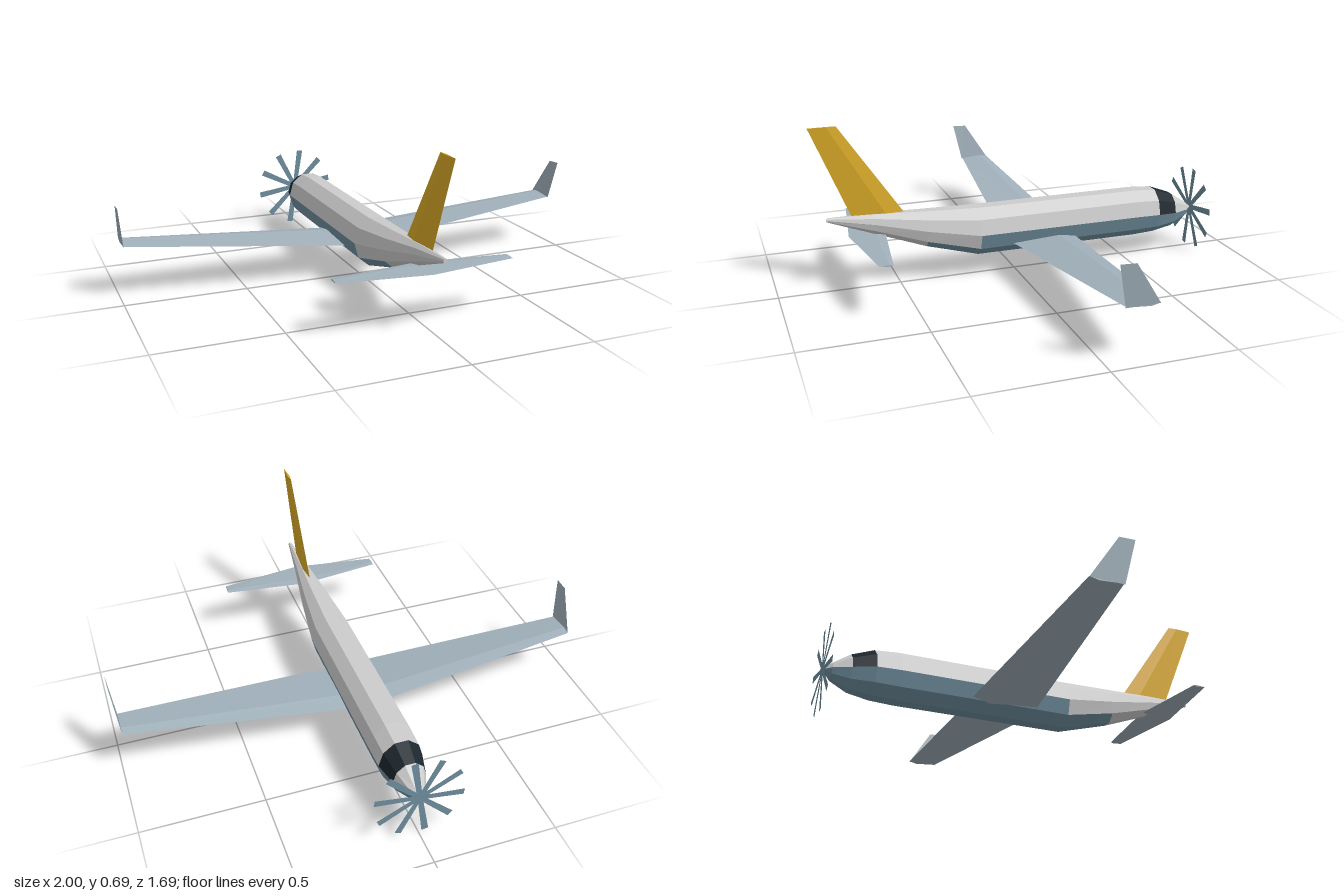
import * as THREE from 'three';

const GREY = 0xcccccc, BLUE = 0x6f8f9f, WING = 0xa0b0ba, GOLD = 0xd9a926, GLASS = 0x1c262d;

function mesh(name, positions, color, side = THREE.FrontSide) {
  const g = new THREE.BufferGeometry();
  g.setAttribute('position', new THREE.Float32BufferAttribute(positions, 3));
  g.computeVertexNormals();
  const m = new THREE.Mesh(g, new THREE.MeshStandardMaterial({ color, flatShading: true, side }));
  m.name = name;
  return m;
}

const quad = (a, b, c, d) => [...a, ...b, ...c, ...a, ...c, ...d];

// Skin between successive rings (counter-clockwise seen from the first ring), with end caps.
function loft(rings) {
  const out = [], n = rings[0].length, last = rings[rings.length - 1];
  for (let i = 0; i < rings.length - 1; i++) {
    for (let j = 0; j < n; j++) {
      const k = (j + 1) % n;
      out.push(...quad(rings[i][j], rings[i + 1][j], rings[i + 1][k], rings[i][k]));
    }
  }
  for (let j = 1; j < n - 1; j++) {
    out.push(...rings[0][0], ...rings[0][j], ...rings[0][j + 1]);
    out.push(...last[0], ...last[j + 1], ...last[j]);
  }
  return out;
}

// Ten-sided fuselage, split into coloured panels.
function fuselage() {
  const group = new THREE.Group();
  group.name = 'fuselage';
  // z, half width, top, middle, bottom
  const stations = [
    [0.79, 0.008, 0.316, 0.307, 0.3],
    [0.6, 0.033, 0.315, 0.277, 0.231],
    [0.39, 0.065, 0.307, 0.233, 0.155],
    [0.17, 0.091, 0.3, 0.197, 0.095],
    [-0.55, 0.092, 0.3, 0.197, 0.095],
    [-0.65, 0.09, 0.293, 0.195, 0.1],
    [-0.74, 0.067, 0.26, 0.187, 0.114],
    [-0.81, 0.037, 0.215, 0.185, 0.147],
    [-0.842, 0.003, 0.188, 0.185, 0.182],
  ];
  const SIDES = 10, peak = Math.sin(Math.PI * 0.4);
  const rings = stations.map(([z, w, top, mid, bottom]) =>
    Array.from({ length: SIDES }, (_, j) => {
      const a = (j / SIDES) * Math.PI * 2, s = Math.sin(a) / peak;
      return [w * Math.cos(a), mid + s * (s > 0 ? top - mid : mid - bottom), z];
    }));
  const panels = { upperBody: [], belly: [], cockpitWindow: [] };
  for (let i = 0; i < rings.length - 1; i++) {
    for (let j = 0; j < SIDES; j++) {
      const k = (j + 1) % SIDES;
      const sideFacet = j === 5 || j === 9;
      const blue = j >= 5 && i >= (sideFacet ? 3 : 2);
      const panel = blue ? 'belly' : i === 5 && j < 5 ? 'cockpitWindow' : 'upperBody';
      panels[panel].push(...quad(rings[i][j], rings[i + 1][j], rings[i + 1][k], rings[i][k]));
    }
  }
  for (let j = 1; j < SIDES - 1; j++) {
    panels.upperBody.push(...rings[0][0], ...rings[0][j], ...rings[0][j + 1]);
  }
  group.add(
    mesh('upperBody', panels.upperBody, GREY),
    mesh('belly', panels.belly, BLUE),
    mesh('cockpitWindow', panels.cockpitWindow, GLASS));
  return group;
}

// Four-point aerofoil at span position x, from trailing to leading edge.
function aerofoil(x, y, trailing, leading, half) {
  const crest = leading + (trailing - leading) * 0.27;
  return [[x, y, trailing], [x, y + half, crest], [x, y, leading], [x, y - half, crest]];
}

export function createModel() {
  const model = new THREE.Group();
  model.name = 'aeroplane';
  model.add(fuselage());

  // Main wing and tailplane, each lofted from tip to tip
  const wingTip = (x) => aerofoil(x, 0.224, -0.06, -0.19, 0.008);
  model.add(mesh('mainWing', loft([
    wingTip(-0.98), aerofoil(0, 0.136, 0.035, -0.257, 0.014), wingTip(0.98),
  ]), WING));
  const tailTip = (x) => aerofoil(x, 0.228, 0.655, 0.602, 0.003);
  model.add(mesh('tailplane', loft([
    tailTip(-0.36), aerofoil(0, 0.228, 0.706, 0.556, 0.004), tailTip(0.36),
  ]), WING));

  // Thin upturned winglets
  for (const s of [1, -1]) {
    model.add(mesh(s > 0 ? 'leftWinglet' : 'rightWinglet', quad(
      [s * 0.98, 0.222, -0.056], [s * 0.98, 0.222, -0.19],
      [s, 0.39, -0.083], [s, 0.393, -0.02],
    ), WING, THREE.DoubleSide));
  }

  // Swept tail fin
  const finRing = (y, front, back, half) => {
    const mid = front + (back - front) * 0.35;
    return [[half, y, mid], [0, y, back], [-half, y, mid], [0, y, front]];
  };
  model.add(mesh('tailFin', loft([
    finRing(0.3, 0.47, 0.685, 0.01), finRing(0.688, 0.733, 0.845, 0.005),
  ]), GOLD));

  // Ten flat propeller blades at the nose tip
  const propeller = new THREE.Group();
  propeller.name = 'propeller';
  propeller.position.set(0, 0.185, -0.842);
  for (let i = 0; i < 10; i++) {
    const blade = mesh('propellerBlade', quad(
      [0, -0.01, 0], [0.183, -0.014, 0], [0.183, 0.014, 0], [0, 0.01, 0],
    ), BLUE, THREE.DoubleSide);
    blade.rotation.z = THREE.MathUtils.degToRad(9 + i * 36);
    propeller.add(blade);
  }
  model.add(propeller);
  return model;
}
